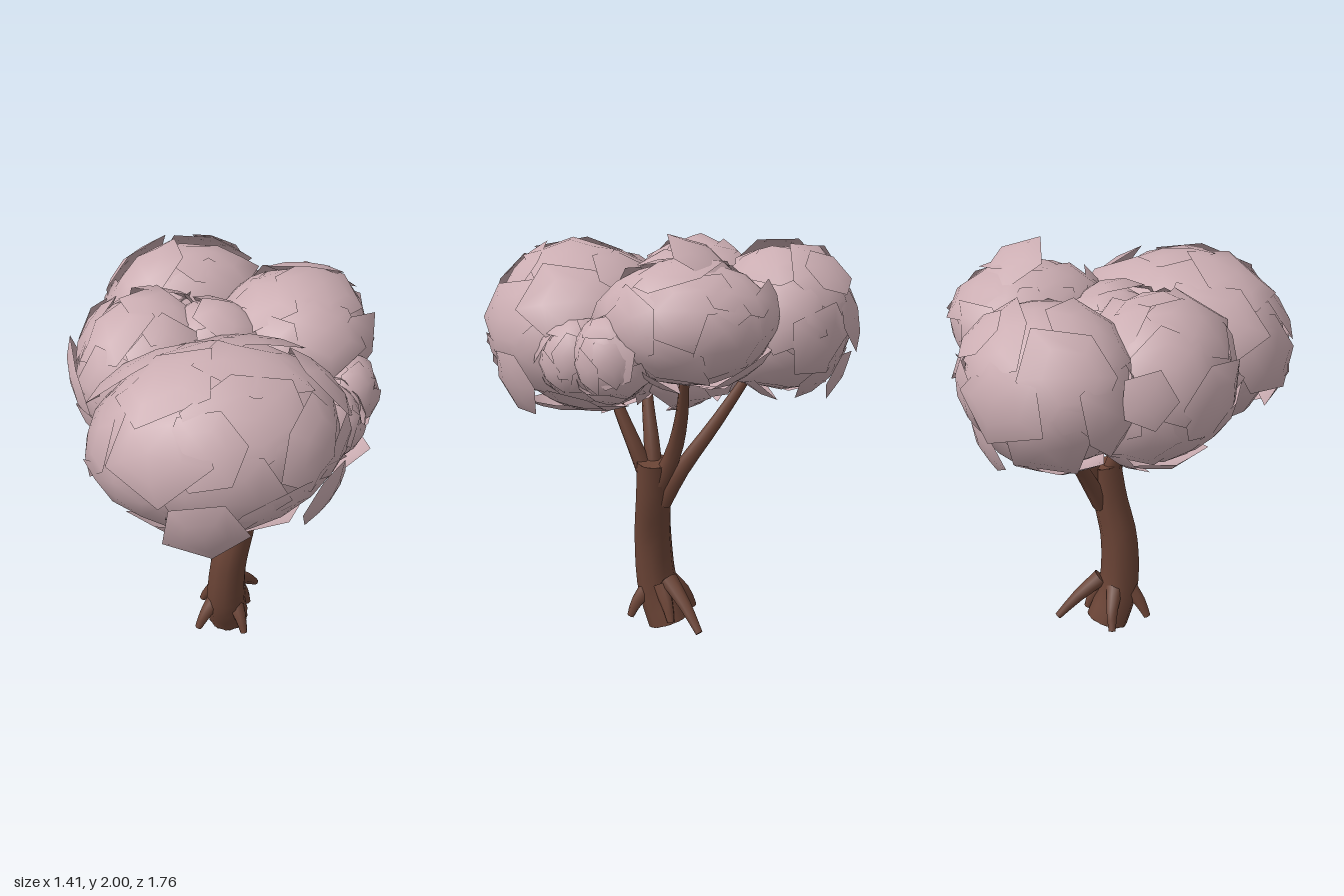
import * as THREE from 'three';

const V = (a) => new THREE.Vector3(...a);

export function createModel() {
  const tree = new THREE.Group();
  tree.name = 'tree';
  const bark = new THREE.MeshStandardMaterial({ color: 0x6b4436, side: THREE.DoubleSide });
  bark.name = 'brown bark';
  const leaf = new THREE.MeshStandardMaterial({ color: 0xcbadb2, side: THREE.DoubleSide });
  leaf.name = 'dusty pink leaves';

  let seed = 11;
  const rnd = () => {
    seed = (seed * 16807) % 2147483647;
    return seed / 2147483647;
  };

  // Tapered limb along a curve, closed with flat ends
  function limb(name, points, r0, r1, sides, segs) {
    const g = new THREE.Group();
    g.name = name;
    const curve = new THREE.CatmullRomCurve3(points.map(V));
    const geo = new THREE.TubeGeometry(curve, segs, 1, sides);
    const pos = geo.attributes.position;
    const v = new THREE.Vector3();
    for (let i = 0; i <= segs; i++) {
      const c = curve.getPointAt(i / segs);
      const r = THREE.MathUtils.lerp(r0, r1, i / segs);
      for (let j = 0; j <= sides; j++) {
        const k = i * (sides + 1) + j;
        v.fromBufferAttribute(pos, k).sub(c).multiplyScalar(r).add(c);
        pos.setXYZ(k, v.x, v.y, v.z);
      }
    }
    const side = new THREE.Mesh(geo, bark);
    side.name = name + 'Side';
    g.add(side);
    for (const [t, r, s] of [[0, r0, -1], [1, r1, 1]]) {
      const cap = new THREE.Mesh(new THREE.CircleGeometry(r, sides), bark);
      cap.name = name + 'End';
      cap.position.copy(curve.getPointAt(t));
      cap.quaternion.setFromUnitVectors(new THREE.Vector3(0, 0, 1), curve.getTangentAt(t).multiplyScalar(s));
      g.add(cap);
    }
    tree.add(g);
  }

  // Leaning trunk
  limb('trunk', [[0, 0.03, -0.03], [-0.025, 0.2, 0.03], [-0.014, 0.48, 0.053], [0.035, 0.7, 0.045], [0.063, 0.89, 0.04]],
    0.106, 0.078, 10, 12);

  // Branches fanning out into the crown
  [
    [[0.05, 0.78, 0.06], [0.035, 0.95, 0.13], [0.0, 1.13, 0.21], [-0.04, 1.32, 0.27]],
    [[0.05, 0.8, 0.04], [0.0, 0.96, 0.055], [-0.07, 1.12, 0.08], [-0.16, 1.3, 0.1]],
    [[0.07, 0.76, 0.02], [0.11, 0.95, -0.06], [0.19, 1.15, -0.105], [0.3, 1.4, -0.13]],
    [[0.055, 0.68, 0.0], [0.07, 0.85, -0.09], [0.04, 1.08, -0.25], [-0.02, 1.34, -0.42]],
  ].forEach((p, i) => limb('branch' + (i + 1), p, 0.046, 0.02, 8, 8));

  // Roots splaying from the foot
  [
    [[0.01, 0.21, 0.07], [0.03, 0.13, 0.13], [0.04, 0.06, 0.16]],
    [[-0.08, 0.22, 0.04], [-0.14, 0.14, 0.06], [-0.18, 0.06, 0.07]],
    [[0.04, 0.27, -0.03], [0.12, 0.17, -0.12], [0.19, 0.06, -0.195]],
    [[-0.04, 0.24, -0.02], [-0.08, 0.15, -0.1], [-0.11, 0.06, -0.14]],
    [[0.04, 0.24, 0.01], [0.085, 0.15, -0.03], [0.11, 0.07, -0.05]],
  ].forEach((p, i) => limb('root' + (i + 1), p, 0.045, 0.018, 7, 4));

  // Curved leafy plate lying on a unit sphere around direction d
  function plate(d, size, lift, tilt, out) {
    const sides = 5 + Math.floor(rnd() * 2);
    const u = new THREE.Vector3(0.3, 0.9, 0.2).cross(d).normalize();
    const w = d.clone().cross(u);
    const spin = rnd() * 6.28, lean = rnd() * 6.28;
    const add = (a, k) => {
      const p = d.clone().multiplyScalar(Math.cos(a))
        .addScaledVector(u, Math.sin(a) * Math.cos(k)).addScaledVector(w, Math.sin(a) * Math.sin(k));
      out.nor.push(p.x, p.y, p.z);
      p.multiplyScalar(1 + lift + tilt * a * Math.cos(k - lean));
      out.pos.push(p.x, p.y, p.z);
    };
    const base = out.pos.length / 3;
    add(0, 0);
    const reach = Array.from({ length: sides }, () => size * (0.85 + 0.3 * rnd()));
    for (const f of [0.55, 1]) {
      for (let i = 0; i < sides; i++) add(reach[i] * f, spin + (i / sides) * Math.PI * 2);
    }
    for (let i = 0; i < sides; i++) {
      const a = base + 1 + i, b = base + 1 + ((i + 1) % sides);
      out.idx.push(base, a, b, a, a + sides, b + sides, a, b + sides, b);
    }
  }

  // Leaf clump: smooth core covered with overlapping plates
  function clump(name, center, radii, count, size) {
    const g = new THREE.Group();
    g.name = name;
    const core = new THREE.Mesh(new THREE.IcosahedronGeometry(0.96, 2).scale(...radii), leaf);
    core.name = name + 'Core';
    const out = { pos: [], nor: [], idx: [] };
    for (let i = 0; i < count; i++) {
      const y = 1 - (2 * (i + 0.5)) / count, r = Math.sqrt(1 - y * y), k = i * 2.39996 + 0.5;
      plate(new THREE.Vector3(r * Math.cos(k), y, r * Math.sin(k)), size, 0.01 + 0.03 * rnd(), 0.15, out);
    }
    const geo = new THREE.BufferGeometry();
    geo.setAttribute('position', new THREE.Float32BufferAttribute(out.pos, 3));
    geo.setAttribute('normal', new THREE.Float32BufferAttribute(out.nor, 3));
    geo.setIndex(out.idx);
    geo.scale(...radii);
    const shell = new THREE.Mesh(geo, leaf);
    shell.name = name + 'Plates';
    g.add(core, shell);
    g.position.set(...center);
    tree.add(g);
  }
  clump('frontClump', [-0.13, 1.5, 0.37], [0.54, 0.39, 0.45], 22, 0.5);
  clump('leftClump', [0.34, 1.62, -0.15], [0.34, 0.28, 0.38], 18, 0.58);
  clump('rightClump', [-0.33, 1.5, -0.14], [0.35, 0.37, 0.38], 18, 0.58);
  clump('backClump', [-0.08, 1.56, -0.55], [0.4, 0.34, 0.33], 18, 0.58);
  clump('centreClump', [-0.06, 1.5, -0.08], [0.3, 0.36, 0.3], 16, 0.6);
  clump('smallSideClump', [0.47, 1.48, 0.16], [0.16, 0.19, 0.17], 14, 0.62);
  clump('smallFrontClump', [0.33, 1.45, 0.33], [0.18, 0.19, 0.18], 14, 0.62);

  // Loose curved flakes standing off the crown: position, facing, radius
  [
    [[0.4, 1.93, -0.22], [0.2, 0.85, -0.5], 0.18],
    [[0.12, 1.82, -0.75], [0.4, 0.7, -0.5], 0.13],
    [[-0.55, 1.6, -0.5], [-0.75, 0.25, -0.6], 0.13],
    [[-0.28, 1.7, 0.77], [-0.3, 0.5, 0.8], 0.17],
    [[-0.3, 1.33, 0.84], [-0.25, -0.25, 1], 0.19],
    [[0.28, 1.3, 0.66], [0.65, -0.3, 0.7], 0.17],
    [[0.43, 1.26, 0.36], [0.4, -0.85, 0.2], 0.15],
    [[0.61, 1.5, 0.16], [0.95, 0.1, 0.2], 0.12],
    [[0.05, 1.33, -0.82], [0.35, -0.35, -0.9], 0.13],
    [[-0.35, 1.14, 0.3], [-0.3, -0.9, 0.1], 0.2],
    [[0.1, 1.14, 0.35], [0.2, -0.95, 0.1], 0.2],
  ].forEach(([p, n, r], i) => {
    const bend = 0.45;
    const geo = new THREE.SphereGeometry(bend, 5 + (i % 2), 2, i, Math.PI * 2, 0, Math.asin(r / bend));
    const flake = new THREE.Mesh(geo.translate(0, -bend, 0), leaf);
    flake.name = 'looseFlake' + (i + 1);
    flake.position.set(...p);
    flake.quaternion.setFromUnitVectors(new THREE.Vector3(0, 1, 0), V(n).normalize());
    tree.add(flake);
  });

  return tree;
}
